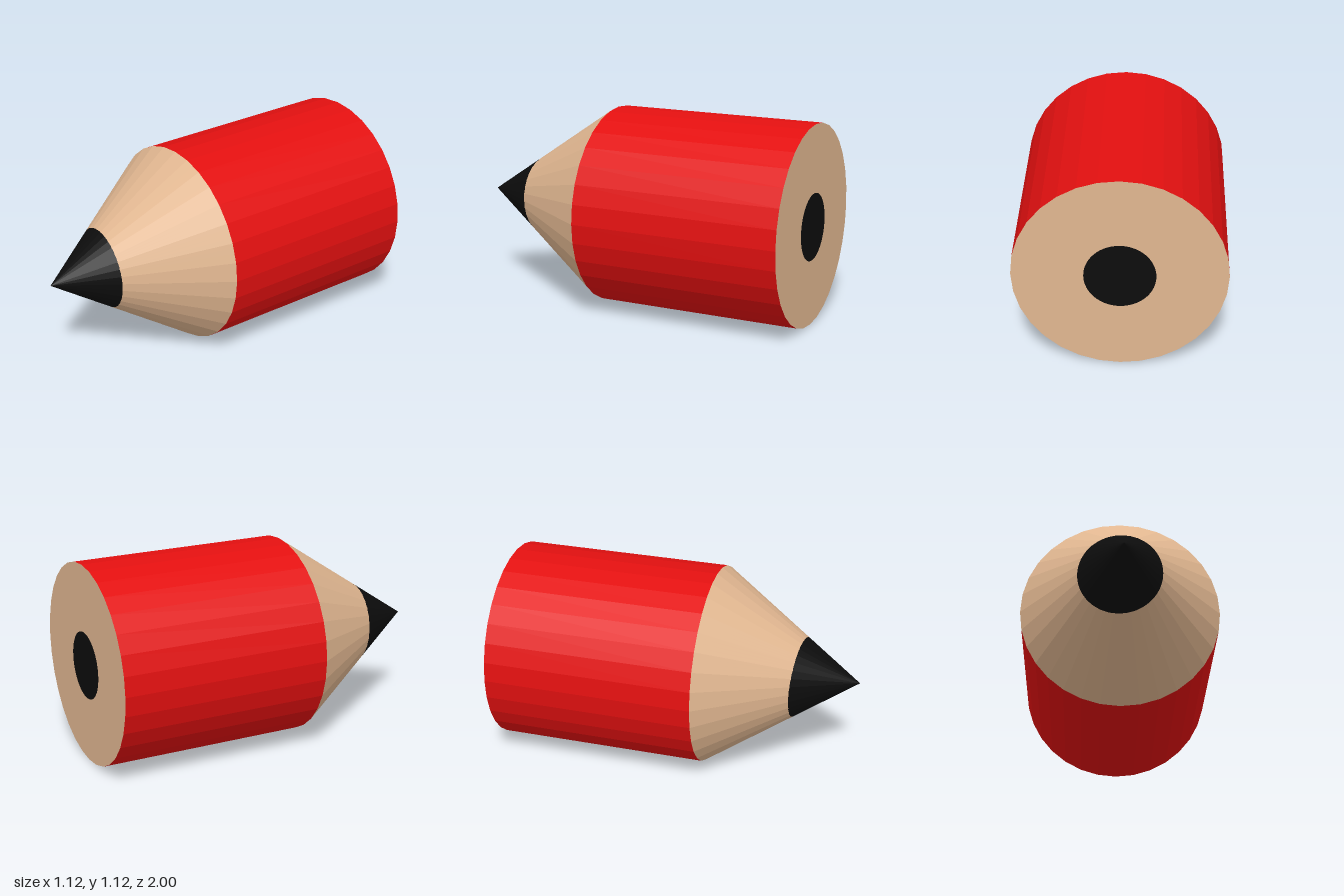
import * as THREE from 'three';

const SIDES = 32, SPLIT = 4;          // each flat side is split so the lead edge stays round
const R = 0.558, BACK = -1, SHOULDER = 0.178, TIP = 1;

// Corner of the 32-sided outline at step i of SIDES * SPLIT
function outline(i) {
  const step = (Math.PI * 2) / SIDES;
  const side = Math.floor(i / SPLIT), f = (i % SPLIT) / SPLIT;
  const a = side * step, b = a + step;
  return new THREE.Vector2(
    R * (Math.cos(a) * (1 - f) + Math.cos(b) * f),
    R * (Math.sin(a) * (1 - f) + Math.sin(b) * f));
}

// Point on the sharpened cone, t = 0 at the tip and 1 at the shoulder
function conePoint(i, t) {
  const p = outline(i).multiplyScalar(t);
  return [p.x, p.y, TIP - (TIP - SHOULDER) * t];
}

// Where the slightly off-centre lead edge crosses the cone
function leadEdge(i) {
  const p = outline(i), c = new THREE.Vector2(-0.012, -0.006), r = 0.226;
  const a = p.lengthSq(), b = p.dot(c);
  return (b + Math.sqrt(b * b - a * (c.lengthSq() - r * r))) / a;
}

function fromTriangles(points) {
  const g = new THREE.BufferGeometry();
  g.setAttribute('position', new THREE.Float32BufferAttribute(points, 3));
  g.computeVertexNormals();
  return g;
}

export function createModel() {
  const paint = new THREE.MeshStandardMaterial({ name: 'red paint', color: 0xe31010, flatShading: true });
  const wood = new THREE.MeshStandardMaterial({ name: 'bare wood', color: 0xe0b690, flatShading: true });
  const lead = new THREE.MeshStandardMaterial({ name: 'black lead', color: 0x0c0c0c, flatShading: true });

  const pencil = new THREE.Group();
  pencil.name = 'pencil';
  pencil.position.y = R;
  const add = (name, geometry, material) => {
    const mesh = new THREE.Mesh(geometry, material);
    mesh.name = name;
    pencil.add(mesh);
    return mesh;
  };

  // Painted barrel, open at both ends
  const barrel = new THREE.CylinderGeometry(R, R, SHOULDER - BACK, SIDES, 1, true);
  barrel.rotateX(Math.PI / 2);
  barrel.translate(0, 0, (SHOULDER + BACK) / 2);
  add('barrel', barrel, paint);

  // Sharpened cone, split into lead point and wood
  const leadTris = [], woodTris = [];
  const count = SIDES * SPLIT;
  for (let i = 0; i < count; i++) {
    const j = (i + 1) % count;
    const ei = conePoint(i, leadEdge(i)), ej = conePoint(j, leadEdge(j));
    const bi = conePoint(i, 1), bj = conePoint(j, 1);
    leadTris.push(0, 0, TIP, ...ei, ...ej);
    woodTris.push(...ei, ...bi, ...bj, ...ei, ...bj, ...ej);
  }
  add('leadPoint', fromTriangles(leadTris), lead);
  add('sharpenedWood', fromTriangles(woodTris), wood);

  // Flat back end: wood ring around the lead core
  const coreR = 0.186, coreY = -0.006;
  const endShape = new THREE.Shape(
    Array.from({ length: SIDES }, (_, i) => outline(i * SPLIT)));
  endShape.holes.push(new THREE.Path().absarc(0, coreY, coreR, 0, Math.PI * 2, true));
  const ring = new THREE.ShapeGeometry(endShape, 32);
  ring.rotateY(Math.PI);
  ring.translate(0, 0, BACK);
  add('backWood', ring, wood);

  const core = new THREE.CircleGeometry(coreR, 64);
  core.rotateY(Math.PI);
  core.translate(0, coreY, BACK);
  add('backLead', core, lead);

  const model = new THREE.Group();
  model.name = 'model';
  model.add(pencil);
  return model;
}
